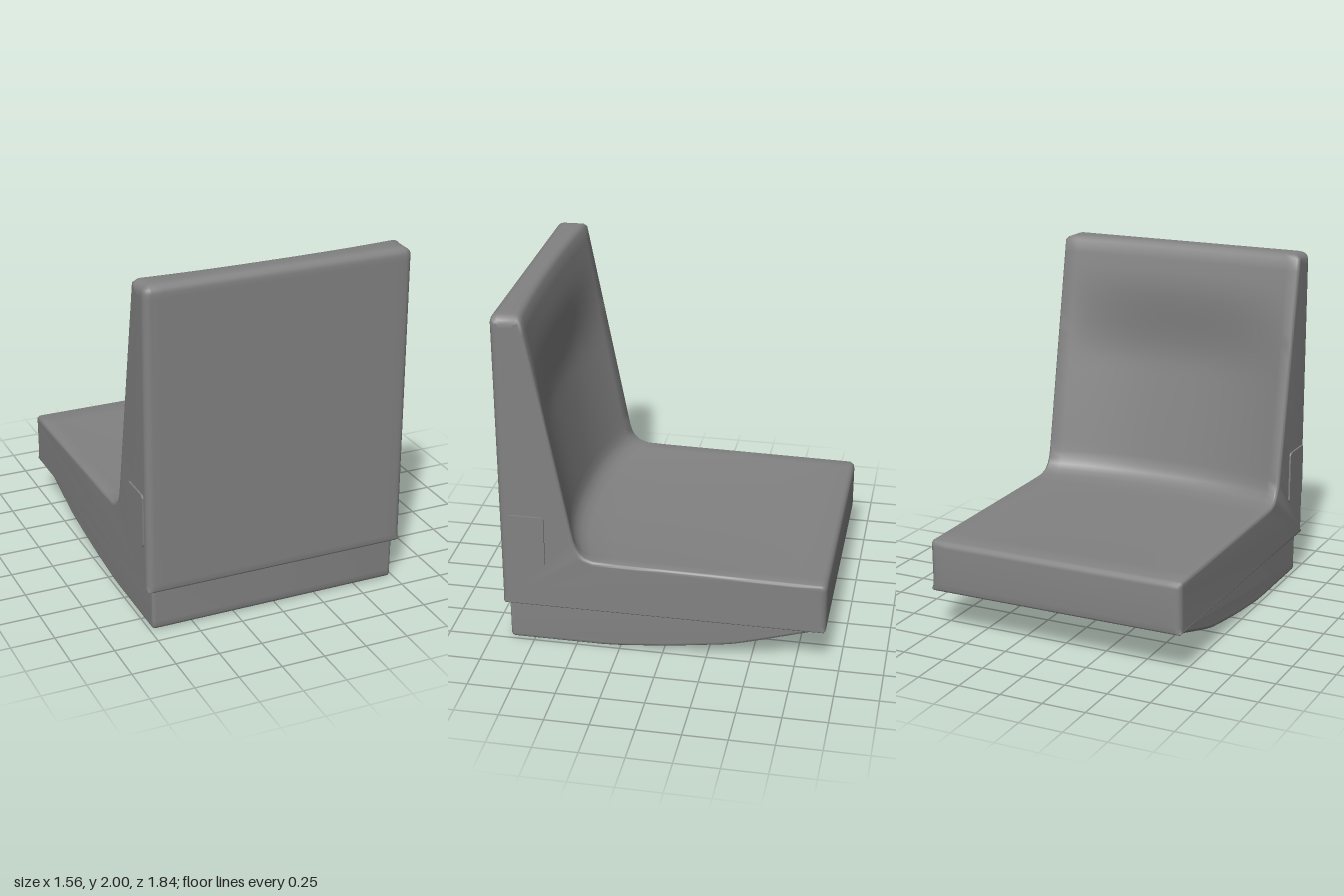
import * as THREE from 'three';
import { toCreasedNormals } from 'three/addons/utils/BufferGeometryUtils.js';

const material = new THREE.MeshStandardMaterial({ color: 0x828282 });
const { lerp, smoothstep } = THREE.MathUtils;

// Move a closed counter-clockwise [z, y, radius] outline inwards by k * radius
function inset(points, k) {
  const n = points.length;
  return points.map(([z, y, r], i) => {
    const p = points[(i + n - 1) % n], q = points[(i + 1) % n];
    const a = new THREE.Vector2(z - p[0], y - p[1]).normalize();
    const b = new THREE.Vector2(q[0] - z, q[1] - y).normalize();
    const t = a.add(b).normalize();
    return [z - t.y * r * k, y + t.x * r * k, r];
  });
}

// Loft side outlines across x, rounding the edges; profile(d) has d = 1 at the centre, 0 at the sides
function loft(profile, halfWidth, steps) {
  const rings = [], bevel = 5;
  const addRing = (points, xOf) => rings.push(points.map((p) => [xOf(p[2]), p[1], p[0]]));
  const addBevel = (sign, k) => {
    const a = (k / bevel) * Math.PI / 2;
    addRing(inset(profile(0), 1 - Math.cos(a)), (r) => sign * (halfWidth - r + r * Math.sin(a)));
  };
  // Extra ring just inside each cap keeps the flat sides evenly shaded
  const addCapRing = (sign) => addRing(inset(profile(0), 1.15), () => sign * halfWidth);

  addCapRing(-1);
  for (let k = bevel; k > 0; k--) addBevel(-1, k);
  for (let i = 0; i <= steps; i++) {
    const s = (2 * i) / steps - 1;
    addRing(profile(1 - Math.pow(Math.abs(s), 2.4)), (r) => s * (halfWidth - r));
  }
  for (let k = 1; k <= bevel; k++) addBevel(1, k);
  addCapRing(1);

  const n = rings[0].length, last = (rings.length - 1) * n, index = [];
  for (let i = 0; i < rings.length - 1; i++) {
    for (let j = 0; j < n; j++) {
      const a = i * n + j, c = i * n + ((j + 1) % n);
      index.push(a, a + n, c, a + n, c + n, c);
    }
  }
  // Flat side caps
  const outline = rings[0].map((p) => new THREE.Vector2(p[2], p[1]));
  for (const [a, b, c] of THREE.ShapeUtils.triangulateShape(outline, [])) {
    index.push(a, b, c, last + a, last + c, last + b);
  }
  const geometry = new THREE.BufferGeometry();
  geometry.setAttribute('position', new THREE.Float32BufferAttribute(rings.flat(2), 3));
  geometry.setIndex(index);
  return toCreasedNormals(geometry, 0.9);
}

// L-shaped side outline: back, top, hollowed backrest, fillet, dished cushion, nose
function shellProfile(d) {
  const pts = [
    [0.908, 0.244, 0.012], [0.917, 0.248, 0.025], [0.92, 0.258, 0.035], [0.92, 0.29, 0.04],
    [0.92, 1.93, 0.04], [0.92, 1.957, 0.04], [0.915, 1.98, 0.045], [0.902, 1.993, 0.05],
    [0.878, 2, 0.058], [0.86, 2, 0.06], [0.782 + 0.025 * d, 2, 0.055], [0.763 + 0.025 * d, 1.995, 0.04],
  ];
  for (let i = 0; i <= 18; i++) {
    const t = 1 - i / 18;
    const hollow = lerp(0.13, 0.028, smoothstep(t, 0.45, 0.88));
    pts.push([lerp(0.5, 0.745, t) + hollow * d, lerp(0.68, 1.975, t), 0.02]);
  }
  for (const [z, y] of [[0.488, 0.64], [0.47, 0.607], [0.44, 0.578], [0.39, 0.56]]) {
    pts.push([z + 0.13 * d, y - 0.02 * d, 0.02]);
  }
  for (let i = 1; i <= 10; i++) {
    const t = i / 10;
    const dish = 0.022 * (1 - t * t * t);
    pts.push([lerp(0.39 + 0.13 * d, -0.89, t), lerp(0.558, 0.543, t) - dish * d, 0.02]);
  }
  pts.push(
    [-0.906, 0.536, 0.025], [-0.917, 0.524, 0.03], [-0.92, 0.505, 0.035], [-0.92, 0.29, 0.04],
    [-0.92, 0.258, 0.035], [-0.917, 0.248, 0.025], [-0.908, 0.244, 0.012],
  );
  return pts;
}

// Plinth whose underside sweeps up towards the nose
function plinthProfile() {
  const r = 0.02;
  const sweep = new THREE.SplineCurve([
    [-0.89, 0.237], [-0.46, 0.106], [-0.28, 0.07], [0, 0.031], [0.28, 0.003],
  ].map(([z, y]) => new THREE.Vector2(z, y))).getPoints(16);
  return [
    ...sweep.map((p) => [p.x, p.y, r]),
    [0.36, 0, r], [0.84, 0, r], [0.87, 0, r], [0.884, 0.006, r], [0.89, 0.02, r], [0.89, 0.05, r],
    [0.89, 0.27, r], [-0.89, 0.27, r],
  ];
}

// Thin plate with rounded corners for the side of the backrest
function plateGeometry(w, h, r, depth) {
  const s = new THREE.Shape();
  const x = w / 2, y = h / 2;
  s.absarc(x - r, y - r, r, 0, Math.PI / 2);
  s.absarc(-x + r, y - r, r, Math.PI / 2, Math.PI);
  s.absarc(-x + r, -y + r, r, Math.PI, Math.PI * 1.5);
  s.absarc(x - r, -y + r, r, Math.PI * 1.5, Math.PI * 2);
  return new THREE.ExtrudeGeometry(s, { depth, bevelEnabled: false, curveSegments: 5 });
}

export function createModel() {
  const group = new THREE.Group();
  const add = (name, geometry) => {
    const mesh = new THREE.Mesh(geometry, material);
    mesh.name = name;
    group.add(mesh);
    return mesh;
  };

  add('seatShell', loft(shellProfile, 0.77, 24));
  add('plinth', loft(plinthProfile, 0.735, 2));

  // Side plates, mirrored
  for (const side of [-1, 1]) {
    const plate = add(side > 0 ? 'leftSidePlate' : 'rightSidePlate', plateGeometry(0.21, 0.31, 0.02, 0.025));
    plate.rotation.y = side * Math.PI / 2;
    plate.position.set(side * 0.755, 0.663, 0.767);
  }
  return group;
}
